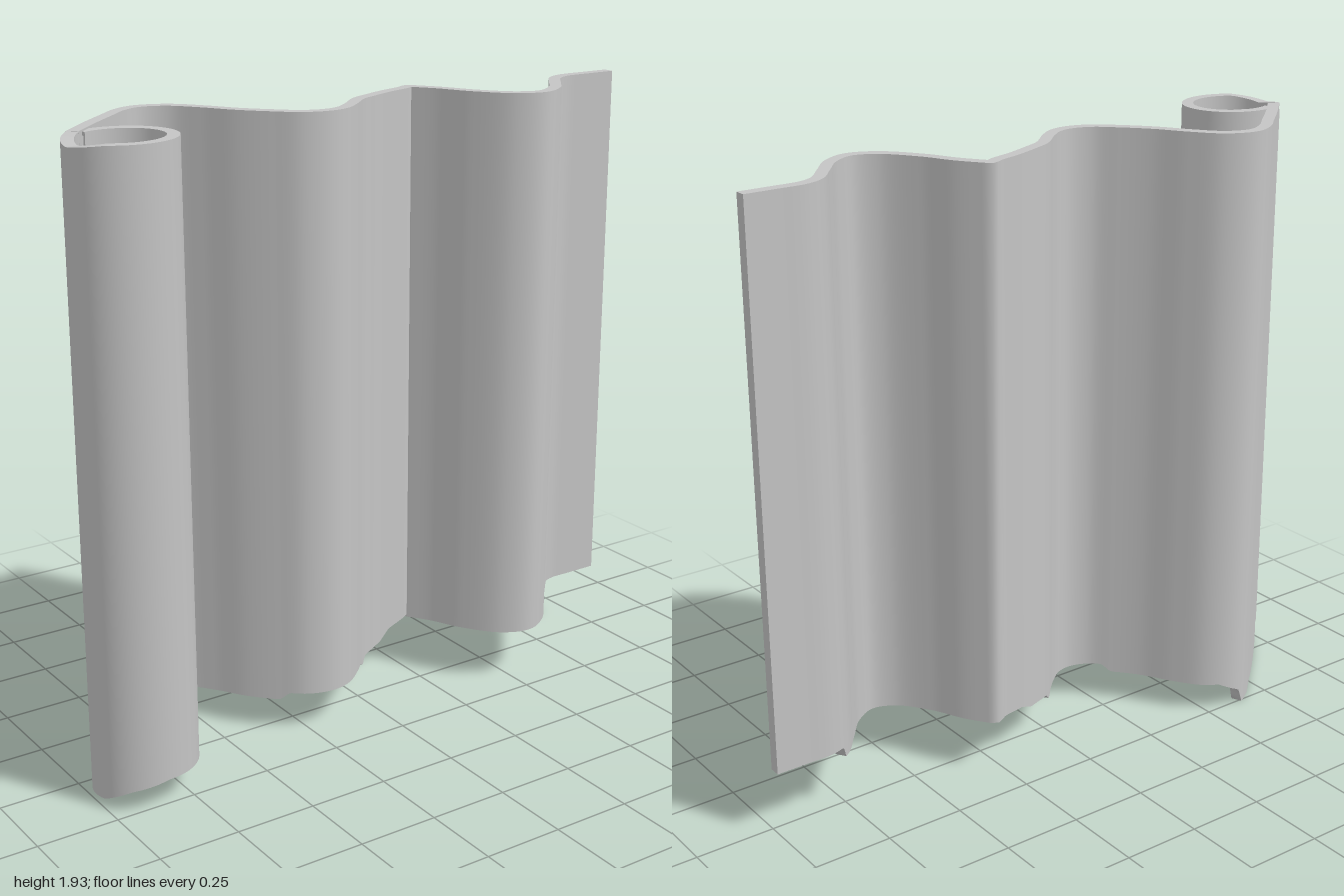
import * as THREE from 'three';
import { mergeGeometries } from 'three/addons/utils/BufferGeometryUtils.js';

const HALF = 0.018; // half thickness of the sheet
const TOP = 1.935;

// Smooth surface between two edge lists of equal length
function band(P, Q) {
  const pos = [], idx = [];
  P.forEach((p, i) => {
    pos.push(...p, ...Q[i]);
    if (i < P.length - 1) {
      const a = i * 2;
      idx.push(a + 2, a, a + 1, a + 2, a + 1, a + 3);
    }
  });
  const g = new THREE.BufferGeometry();
  g.setAttribute('position', new THREE.Float32BufferAttribute(pos, 3));
  g.setIndex(idx);
  g.computeVertexNormals();
  return g;
}

// Upright wall following a plan path; each point is [x, z, bottom, top]
function wall(path) {
  const fb = [], ft = [], bb = [], bt = [];
  path.forEach(([x, z, lo, hi], i) => {
    const a = path[Math.max(i - 1, 0)], b = path[Math.min(i + 1, path.length - 1)];
    const dx = b[0] - a[0], dz = b[1] - a[1], l = Math.hypot(dx, dz);
    const nx = dz / l * HALF, nz = -dx / l * HALF;
    fb.push([x + nx, lo, z + nz]); ft.push([x + nx, hi, z + nz]);
    bb.push([x - nx, lo, z - nz]); bt.push([x - nx, hi, z - nz]);
  });
  const e = path.length - 1;
  return mergeGeometries([
    band(fb, ft), band(ft, bt), band(bt, bb), band(bb, fb),
    band([bb[0], fb[0]], [bt[0], ft[0]]),
    band([fb[e], bb[e]], [ft[e], bt[e]]),
  ]);
}

// Linear lookup in a table of [key, value] with rising keys
function lookup(table, k) {
  for (let i = 1; i < table.length; i++) {
    const [k0, v0] = table[i - 1], [k1, v1] = table[i];
    if (k <= k1) return v0 + (v1 - v0) * Math.max(0, (k - k0) / (k1 - k0));
  }
  return table[table.length - 1][1];
}

const sample = (pts, n) => new THREE.CatmullRomCurve3(
  pts.map(([x, z]) => new THREE.Vector3(x, 0, z)), false, 'centripetal').getSpacedPoints(n);

export function createModel() {
  const group = new THREE.Group();
  const grey = new THREE.MeshStandardMaterial({ color: 0xc4c4c4, side: THREE.DoubleSide });
  grey.name = 'sheet grey';
  const add = (name, geo) => {
    const m = new THREE.Mesh(geo, grey);
    m.name = name;
    group.add(m);
    return m;
  };

  // Rippled sheet, with a sharp fold between two smooth runs
  const rightRun = sample([[1, -0.032], [0.9, -0.032], [0.81, -0.03], [0.755, -0.005], [0.69, 0.07],
    [0.62, 0.15], [0.54, 0.19], [0.46, 0.16], [0.38, 0.06], [0.33, -0.04], [0.29, -0.1], [0.272, -0.125]], 90);
  const leftRun = sample([[0.272, -0.125], [0.24, -0.107], [0.16, -0.08], [0.08, -0.045], [0.01, -0.01],
    [-0.06, 0.055], [-0.12, 0.1], [-0.18, 0.112], [-0.25, 0.09], [-0.31, 0.035], [-0.38, -0.045],
    [-0.44, -0.14], [-0.5, -0.215], [-0.56, -0.246], [-0.61, -0.248], [-0.67, -0.218], [-0.73, -0.165],
    [-0.83, -0.075], [-0.928, 0.02]], 150);
  const hem = [[-1, 0.015], [-0.63, 0.005], [-0.61, 0.06], [-0.54, 0.1], [-0.31, 0.105], [-0.29, 0.13],
    [-0.02, 0.133], [0, 0.115], [0.02, 0.14], [0.11, 0.15], [0.16, 0.175], [0.26, 0.187],
    [0.28, 0.178], [0.765, 0.178], [0.775, 0.215], [1, 0.215]];
  add('ripple sheet', wall([...rightRun, ...leftRun.slice(1)]
    .map(p => [p.x, p.z, lookup(hem, p.x), TOP])));

  // Rolled edge, nearly a closed tube
  const rollHem = [[-115, 0.09], [90, 0.095], [130, 0.07], [165, 0.03], [231, 0.015]];
  const roll = [];
  for (let i = 0; i <= 64; i++) {
    const deg = 231 - i * 346 / 64, a = THREE.MathUtils.degToRad(deg);
    roll.push([-0.84 + 0.142 * Math.cos(a), 0.125 + 0.13 * Math.sin(a), lookup(rollHem, deg),
      lookup([[130, TOP - 0.005], [180, 1.915], [231, TOP]], deg)]);
  }
  add('rolled edge', wall(roll));

  // Crumpled core just inside the mouth of the roll
  const core = new THREE.CylinderGeometry(0.06, 0.118, 0.16, 7, 1).toNonIndexed();
  const p = core.attributes.position;
  for (let i = 0; i < p.count; i++) {
    if (p.getY(i) > 0) {
      p.setX(i, p.getX(i) - 0.045);
      p.setY(i, p.getY(i) - p.getX(i) * 0.15);
    }
  }
  core.computeVertexNormals();
  add('crumpled core', core).position.set(-0.84, 1.8, 0.122);

  // Small pinch where the sheet meets the roll
  const pinch = add('pinched seam', new THREE.BoxGeometry(0.06, 1.8, 0.035));
  pinch.position.set(-0.895, 1.02, 0.0);
  pinch.rotation.y = 0.3;

  return group;
}
